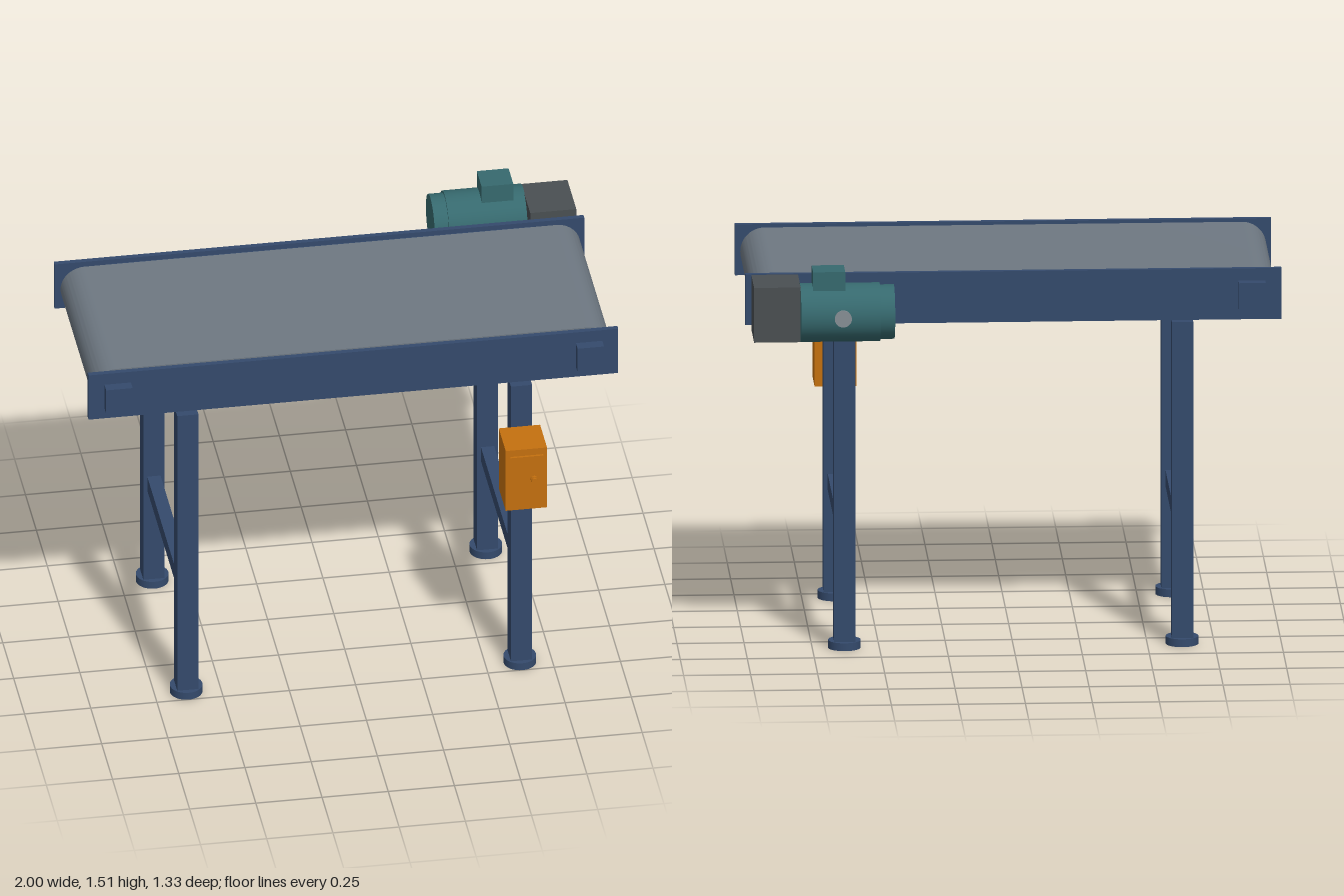
import * as THREE from 'three';
import { toCreasedNormals } from 'three/addons/utils/BufferGeometryUtils.js';

export function createModel() {
  const model = new THREE.Group();
  model.name = 'beltConveyor';

  const material = (name, color) => {
    const m = new THREE.MeshStandardMaterial({ color });
    m.name = name;
    return m;
  };
  const frameBlue = material('frame blue', 0x344a6c);
  const beltGrey = material('belt grey', 0x6e7882);
  const motorTeal = material('motor teal', 0x36696e);
  const gearGrey = material('gearbox grey', 0x4a4f52);
  const boxOrange = material('control box orange', 0xc4700f);
  const steel = material('steel', 0x868e94);

  const add = (name, geometry, mat, x, y, z) => {
    const mesh = new THREE.Mesh(geometry, mat);
    mesh.name = name;
    mesh.position.set(x, y, z);
    model.add(mesh);
    return mesh;
  };
  const box = (name, mat, w, h, d, x, y, z) =>
    add(name, new THREE.BoxGeometry(w, h, d), mat, x, y, z);
  // Cylinder lying along the given axis
  const rod = (name, mat, r, length, axis, x, y, z) => {
    const g = new THREE.CylinderGeometry(r, r, length, 40);
    if (axis === 'x') g.rotateZ(Math.PI / 2);
    if (axis === 'z') g.rotateX(Math.PI / 2);
    return add(name, g, mat, x, y, z);
  };

  const midZ = 0.05;     // centre line of the frame
  const axleY = 1.339;   // roller and motor axis height
  const rollerX = 0.89;
  const legX = 0.63;

  // Belt: a hollow loop around both rollers
  const loop = (path, r) => {
    path.moveTo(-rollerX, -r);
    path.lineTo(rollerX, -r);
    path.absarc(rollerX, 0, r, -Math.PI / 2, Math.PI / 2, false);
    path.lineTo(-rollerX, r);
    path.absarc(-rollerX, 0, r, Math.PI / 2, Math.PI * 1.5, false);
    return path;
  };
  const beltShape = loop(new THREE.Shape(), 0.091);
  beltShape.holes.push(loop(new THREE.Path(), 0.082));
  const beltGeometry = new THREE.ExtrudeGeometry(beltShape, {
    depth: 0.72, bevelEnabled: false, curveSegments: 24,
  });
  add('belt', toCreasedNormals(beltGeometry, 0.5), beltGrey, 0, axleY, midZ - 0.36);

  // Bed carrying the upper run, and cross members under the lower run
  box('sliderBed', frameBlue, 1.6, 0.018, 0.76, 0, 1.41, midZ);
  for (const x of [-legX, 0, legX]) {
    box('crossMember', frameBlue, 0.06, 0.05, 0.76, x, 1.268, midZ);
  }

  for (const x of [-rollerX, rollerX]) {
    rod('roller', steel, 0.081, 0.736, 'z', x, axleY, midZ);
    rod('rollerShaft', steel, 0.025, 0.78, 'z', x, axleY, midZ);
  }

  // Side rails, bearing blocks and legs, mirrored front to back
  for (const side of [1, -1]) {
    box('sideRail', frameBlue, 2, 0.195, 0.02, 0, 1.3405, midZ + side * 0.39);
    for (const end of [1, -1]) {
      box('bearingBlock', frameBlue, 0.1, 0.104, 0.04,
        end * rollerX, axleY, midZ + side * 0.42);
      box('leg', frameBlue, 0.08, 1.215, 0.08,
        end * legX, 0.6355, midZ + side * 0.39);
      rod('foot', frameBlue, 0.061, 0.03, 'y', end * legX, 0.015, midZ + side * 0.39);
    }
  }
  for (const x of [-legX, legX]) {
    box('legBrace', frameBlue, 0.05, 0.062, 0.7, x, 0.453, midZ);
  }

  // Drive unit behind the rail
  const motorZ = -0.554;
  box('gearbox', gearGrey, 0.174, 0.21, 0.205, 0.892, axleY, -0.4875);
  rod('motorBody', motorTeal, 0.11, 0.297, 'x', 0.6575, axleY, motorZ);
  rod('motorFanCover', motorTeal, 0.102, 0.055, 'x', 0.483, axleY, motorZ);
  box('motorTerminalBox', motorTeal, 0.12, 0.1, 0.11, 0.7, 1.456, motorZ);
  rod('motorNameplate', steel, 0.032, 0.012, 'z', 0.65, axleY, -0.661);

  // Control box on the front leg
  box('controlBox', boxOrange, 0.156, 0.264, 0.16, 0.622, 0.932, 0.56);
  box('controlBoxDoor', boxOrange, 0.124, 0.134, 0.009, 0.623, 0.969, 0.6445);
  rod('knobCollar', boxOrange, 0.014, 0.009, 'z', 0.649, 0.936, 0.6525);
  rod('knob', boxOrange, 0.011, 0.018, 'z', 0.649, 0.936, 0.658);

  return model;
}
